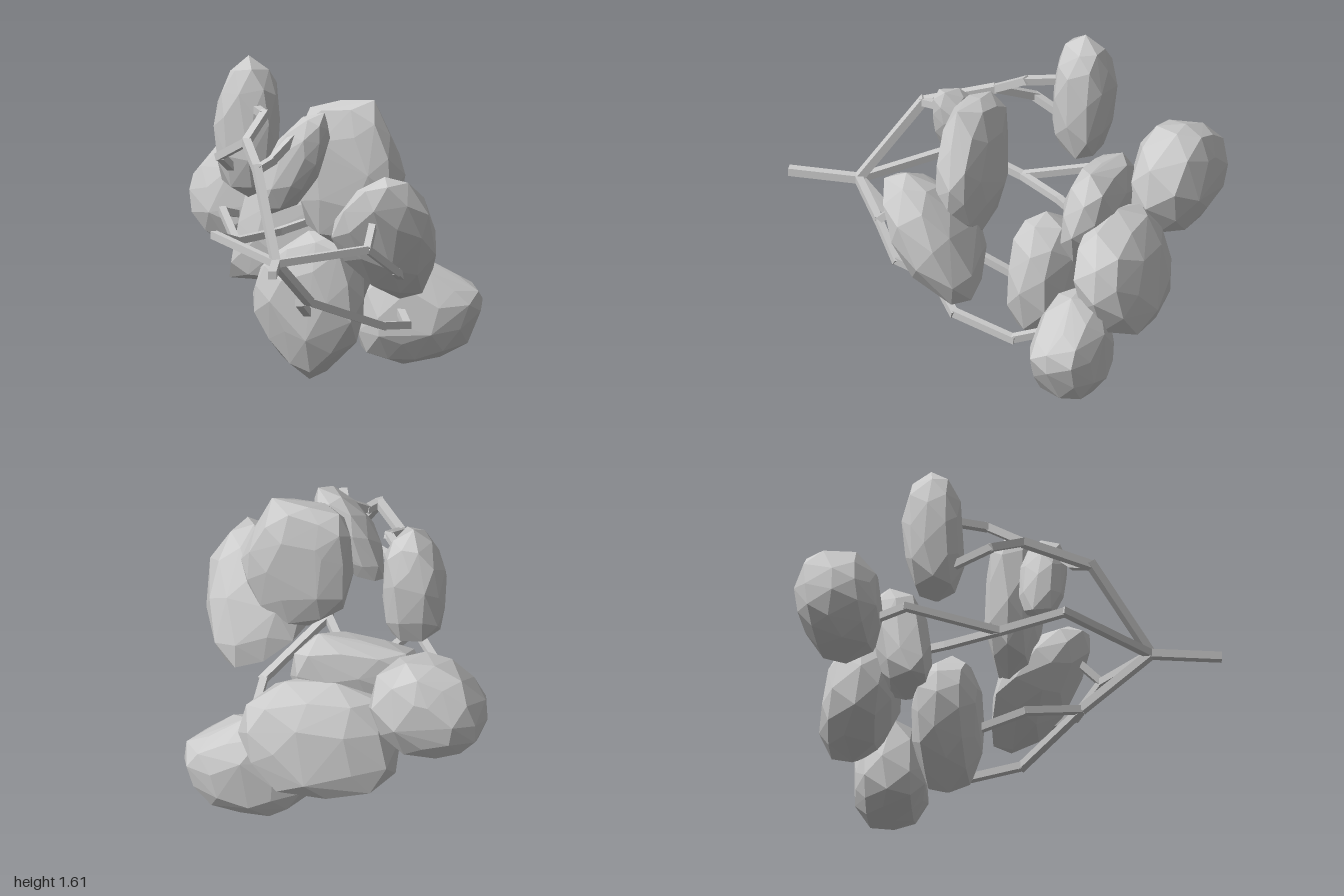
import * as THREE from 'three';
import { ConvexGeometry } from 'three/addons/geometries/ConvexGeometry.js';

const material = new THREE.MeshStandardMaterial({ color: 0xcccccc, flatShading: true });

// Faceted clump: an outline (x, y) swelled to half thickness h around depth z.
// leanY / leanX tilt it, as change of z per unit of y / x.
function clump(name, { z, h, leanY = 0, leanX = 0 }, outline) {
  const n = outline.length, pts = [];
  const cx = outline.reduce((s, p) => s + p[0], 0) / n;
  const cy = outline.reduce((s, p) => s + p[1], 0) / n;
  const add = (dx, dy, scale, dz) => {
    const x = dx * scale, y = dy * scale;
    pts.push(new THREE.Vector3(cx + x, cy + y, z + dz + leanY * y + leanX * x));
  };
  outline.forEach(([x, y], i) => {
    const [nx, ny] = outline[(i + 1) % n];
    const dx = x - cx, dy = y - cy, mx = (x + nx) / 2 - cx, my = (y + ny) / 2 - cy;
    add(dx, dy, 1, h * 0.15 * Math.sin(i * 4.3));
    for (const side of [-1, 1]) {
      // Shoulder ring between the outline points, then a smaller cap ring
      add(mx, my, 0.91 + 0.03 * Math.sin(i * 2.7 + side), side * h * 0.62);
      if (i % 2 === 0) add(dx, dy, 0.5, side * h * (0.95 + 0.05 * Math.sin(i * 5 + side)));
    }
  });
  const mesh = new THREE.Mesh(new ConvexGeometry(pts), material);
  mesh.name = name;
  return mesh;
}

// Square-section branch following a list of points
function branch(name, width, points) {
  const g = new THREE.Group();
  g.name = name;
  for (let i = 0; i + 1 < points.length; i++) {
    const a = new THREE.Vector3(...points[i]), b = new THREE.Vector3(...points[i + 1]);
    const overlap = i + 2 < points.length ? width * 0.5 : 0;
    const len = a.distanceTo(b) + overlap;
    const m = new THREE.Mesh(new THREE.BoxGeometry(width, width, len).translate(0, 0, len / 2), material);
    m.position.copy(a);
    m.lookAt(b);
    m.name = name + 'Segment';
    g.add(m);
  }
  return g;
}

export function createModel() {
  const model = new THREE.Group();
  model.name = 'leafyBranch';

  // Leaf clumps
  model.add(
    clump('topLeafClump', { z: -0.345, h: 0.145, leanY: -0.03 }, [
      [-0.33, 1.61], [-0.23, 1.54], [-0.18, 1.42], [-0.17, 1.15], [-0.22, 0.95],
      [-0.32, 0.9], [-0.46, 0.98], [-0.49, 1.15], [-0.49, 1.37], [-0.42, 1.53]]),
    clump('upperFrontLeafClump', { z: 0.13, h: 0.11 }, [
      [0.24, 1.43], [0.12, 1.4], [0, 1.28], [-0.08, 1.12], [-0.1, 0.92],
      [-0.05, 0.9], [0.1, 0.96], [0.2, 1.1], [0.25, 1.25], [0.26, 1.35]]),
    clump('upperLeftLeafClump', { z: -0.06, h: 0.13, leanX: -0.03 }, [
      [0.1, 1.42], [0.25, 1.46], [0.44, 1.475], [0.52, 1.3], [0.59, 1.1],
      [0.56, 0.92], [0.44, 0.76], [0.25, 0.72], [0.08, 0.83], [0.03, 1.05], [0.04, 1.3]]),
    clump('leftLeafClump', { z: 0.025, h: 0.185, leanY: 0.44 }, [
      [0.57, 1.13], [0.68, 1.1], [0.78, 0.94], [0.78, 0.72], [0.66, 0.5],
      [0.55, 0.47], [0.35, 0.6], [0.25, 0.72], [0.27, 0.88], [0.42, 1.05]]),
    clump('rightRearLeafClump', { z: -0.79, h: 0.205, leanY: -0.1 }, [
      [-0.52, 1.13], [-0.66, 1.07], [-0.77, 0.92], [-0.78, 0.8], [-0.73, 0.68], [-0.63, 0.6],
      [-0.45, 0.57], [-0.28, 0.62], [-0.18, 0.8], [-0.22, 1], [-0.38, 1.15]]),
    clump('lowerLeafClump', { z: -0.335, h: 0.17 }, [
      [-0.3, 0.42], [-0.25, 0.25], [-0.15, 0.12], [0, 0], [0.08, 0.04], [0.25, 0.2],
      [0.29, 0.42], [0.25, 0.62], [0.15, 0.74], [0, 0.75], [-0.18, 0.63], [-0.26, 0.55]]),
    clump('lowerLeftLeafClump', { z: -0.71, h: 0.185, leanX: -0.12 }, [
      [0.15, 0.12], [0.25, 0.07], [0.37, 0.04], [0.55, 0.08], [0.68, 0.15], [0.76, 0.32],
      [0.75, 0.42], [0.63, 0.49], [0.45, 0.59], [0.25, 0.55], [0.14, 0.3]]),
    clump('rearLeafClump', { z: -0.785, h: 0.19, leanY: 0.18, leanX: -0.15 }, [
      [0.47, 0.6], [0.43, 0.77], [0.25, 0.87], [0, 0.88], [-0.22, 0.8], [-0.33, 0.58],
      [-0.31, 0.38], [-0.15, 0.29], [0.15, 0.28], [0.38, 0.4]]),
    clump('middleLeafClump', { z: -0.545, h: 0.145, leanY: -0.14, leanX: -0.15 }, [
      [-0.4, 0.9], [-0.33, 0.99], [-0.1, 1.05], [0.1, 1.1], [0.22, 0.98], [0.25, 0.8],
      [0.15, 0.6], [-0.1, 0.48], [-0.28, 0.46], [-0.46, 0.47], [-0.46, 0.6]]),
  );

  // Stem and the four main limbs with their forks
  const hub = [0.17, 0.75, 0.66];
  const topFork = [-0.02, 1.17, 0.4], crown = [-0.19, 1.25, 0.08];
  const leftFork = [0.54, 0.79, 0.34], lowFork = [0.22, 0.5, 0.3];
  const rightFork = [-0.27, 0.81, 0.31], rightEnd = [-0.28, 0.73, -0.02];
  const limbs = [
    ['stem', 0.042, [[0.27, 0.75, 1], hub]],
    ['upperLimb', 0.042, [hub, topFork, crown]],
    ['upperTwig', 0.038, [topFork, [0.02, 1.2, 0.3], [0.11, 1.32, 0.18]]],
    ['crownTwig', 0.038, [crown, [-0.16, 1.36, -0.1], [-0.26, 1.36, -0.26]]],
    ['crownTwig', 0.038, [crown, [-0.37, 1.15, -0.04], [-0.38, 1.06, -0.24]]],
    ['leftLimb', 0.038, [hub, leftFork]],
    ['leftTwig', 0.036, [leftFork, [0.53, 0.92, 0.21], [0.48, 0.94, 0.1]]],
    ['leftTwig', 0.036, [leftFork, [0.64, 0.66, 0.19], [0.61, 0.6, 0.02]]],
    ['lowerLimb', 0.042, [hub, lowFork]],
    ['lowerTwig', 0.038, [lowFork, [0.08, 0.45, 0.05], [0.04, 0.35, -0.2]]],
    ['lowerTwig', 0.038, [lowFork, [0.48, 0.34, -0.05], [0.49, 0.29, -0.39], [0.36, 0.35, -0.62]]],
    ['rightLimb', 0.038, [hub, rightFork, rightEnd]],
    ['rightTwig', 0.036, [rightEnd, [-0.5, 0.8, -0.45], [-0.47, 0.75, -0.65]]],
    ['rightTwig', 0.036, [rightEnd, [-0.15, 0.74, -0.3], [0, 0.79, -0.47]]],
  ];
  limbs.forEach((l) => model.add(branch(...l)));

  return model;
}
